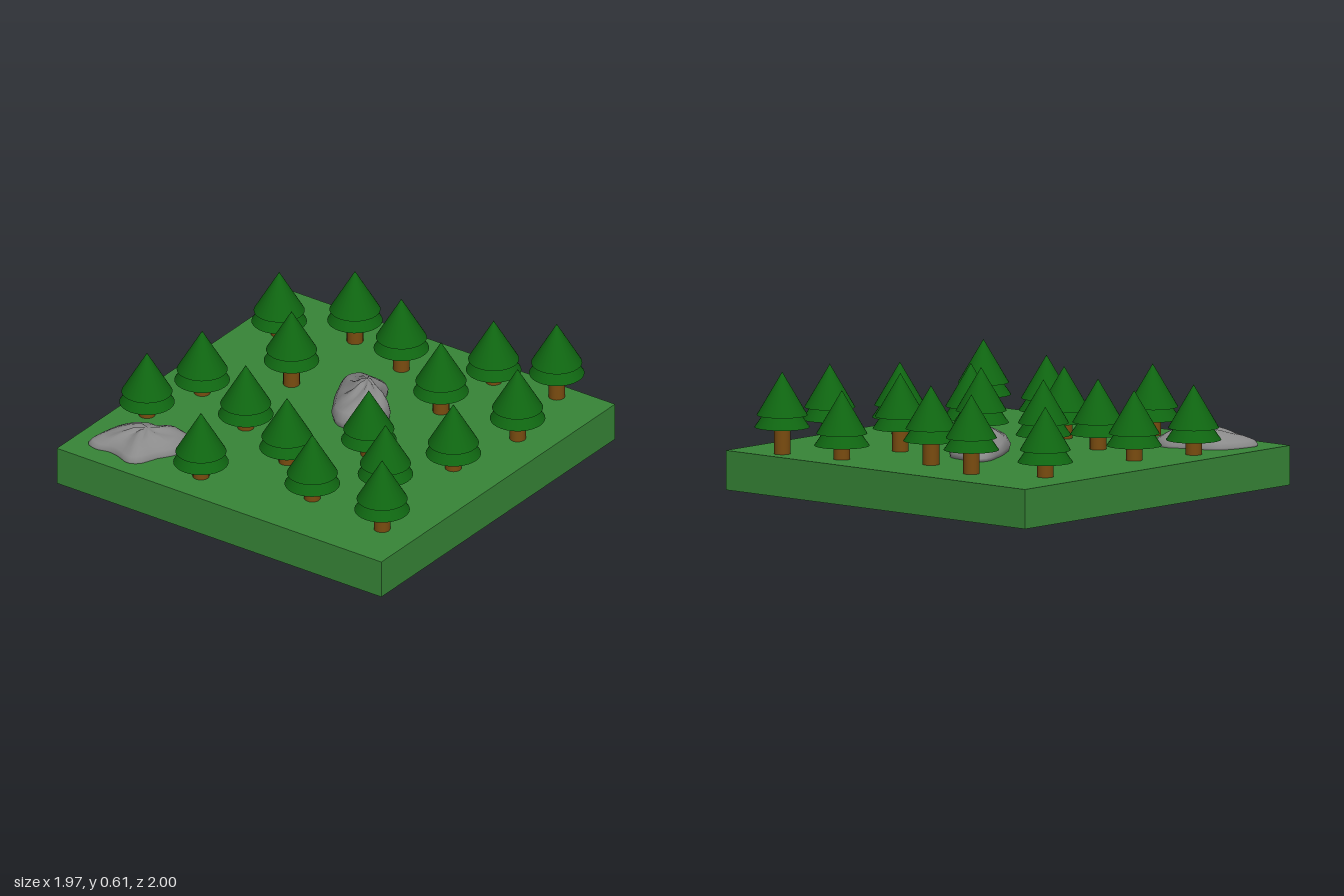
import * as THREE from 'three';

const mat = (name, color, side = THREE.FrontSide) => {
  const m = new THREE.MeshStandardMaterial({ color, side });
  m.name = name;
  return m;
};

// Rock: a closed ground outline shrunk ring by ring towards its summit
function rockGeometry(outline, summit, profile, tilt) {
  const n = 36;
  const curve = new THREE.CatmullRomCurve3(
    outline.map(([x, z]) => new THREE.Vector3(x, 0, z)), true);
  const rim = Array.from({ length: n }, (_, i) => curve.getPoint(i / n));
  const [sx, sy, sz] = summit;
  const pos = [], index = [];
  profile.forEach(([scale, h], r) => rim.forEach((p, i) => {
    const dx = (p.x - sx) * scale, dz = (p.z - sz) * scale;
    const lump = 1 + 0.1 * Math.sin(i * 1.05 + r * 1.7) * (1 - scale * 0.6);
    const slope = 1 + tilt[0] * dx + tilt[1] * dz;
    pos.push(sx + dx, 0.195 + (sy - 0.195) * Math.min(1, h * lump * slope), sz + dz);
  }));
  const top = pos.length / 3;
  pos.push(sx, sy, sz);
  for (let r = 0; r < profile.length; r++) {
    for (let i = 0; i < n; i++) {
      const a = r * n + i, b = r * n + (i + 1) % n;
      if (r === profile.length - 1) index.push(a, top, b);
      else index.push(a, a + n, b, b, a + n, b + n);
    }
  }
  const g = new THREE.BufferGeometry();
  g.setAttribute('position', new THREE.Float32BufferAttribute(pos, 3));
  g.setIndex(index);
  g.computeVertexNormals();
  return g;
}

export function createModel() {
  const model = new THREE.Group();
  model.name = 'forestTile';
  const grass = mat('grass green', 0x378637);
  const needles = mat('needle green', 0x0f6611);
  const bark = mat('bark brown', 0x7a4c10);
  const stone = mat('stone grey', 0x8a8a8a, THREE.DoubleSide);

  const add = (parent, name, geometry, material, x = 0, y = 0, z = 0) => {
    const m = new THREE.Mesh(geometry, material);
    m.name = name;
    m.position.set(x, y, z);
    parent.add(m);
  };

  // Ground slab
  add(model, 'ground', new THREE.BoxGeometry(1.97, 0.197, 1.97), grass, 0, 0.0985, 0.012);

  // Trees: x, z and height of the tip
  const trees = [
    [-0.775, -0.585, 0.545], [-0.43, -0.745, 0.59], [-0.08, -0.65, 0.59],
    [0.365, -0.81, 0.54], [0.705, -0.87, 0.605], [0.33, -0.415, 0.585],
    [0.795, -0.415, 0.585], [-0.43, -0.21, 0.605], [0.715, 0.015, 0.555],
    [-0.735, 0.12, 0.545], [0.295, 0.145, 0.555], [-0.355, 0.28, 0.547],
    [0.54, 0.345, 0.53], [-0.825, 0.46, 0.545], [0.013, 0.443, 0.555],
    [0.33, 0.67, 0.555], [0.79, 0.72, 0.582], [-0.245, 0.81, 0.553],
  ];
  const upper = new THREE.ConeGeometry(0.126, 0.215, 32);
  const lower = new THREE.ConeGeometry(0.137, 0.2, 32);
  trees.forEach(([x, z, tip], i) => {
    const tree = new THREE.Group();
    tree.name = `tree${i + 1}`;
    tree.position.set(x, 0, z);
    const trunkTop = tip - 0.24, h = trunkTop - 0.19;
    add(tree, 'trunk', new THREE.CylinderGeometry(0.041, 0.041, h, 20), bark, 0, 0.19 + h / 2, 0);
    add(tree, 'lowerFoliage', lower, needles, 0, tip - 0.275 + 0.1, 0);
    add(tree, 'upperFoliage', upper, needles, 0, tip - 0.215 / 2, 0);
    model.add(tree);
  });

  // Rocks
  const tallRock = [
    [-0.235, -0.415], [-0.2, -0.465], [-0.13, -0.45], [-0.025, -0.435], [0.025, -0.395],
    [0.03, -0.34], [0.095, -0.275], [0.17, -0.215], [0.175, -0.1], [0.135, -0.03],
    [0.06, 0.013], [0, 0.013], [-0.065, -0.04], [-0.105, -0.105], [-0.16, -0.2],
    [-0.195, -0.28], [-0.225, -0.35],
  ];
  const flatRock = [
    [-0.855, 0.675], [-0.885, 0.795], [-0.885, 0.875], [-0.825, 0.895], [-0.76, 0.88],
    [-0.695, 0.89], [-0.615, 0.918], [-0.56, 0.885], [-0.52, 0.795], [-0.468, 0.715],
    [-0.463, 0.61], [-0.49, 0.55], [-0.595, 0.533], [-0.66, 0.57], [-0.735, 0.59],
    [-0.815, 0.625],
  ];
  add(model, 'tallRock', rockGeometry(tallRock, [0.01, 0.355, -0.24],
    [[0.95, 0], [1, 0.2], [0.9, 0.42], [0.7, 0.58], [0.45, 0.73], [0.2, 0.92]], [1.2, 0.6]), stone);
  add(model, 'flatRock', rockGeometry(flatRock, [-0.64, 0.298, 0.71],
    [[0.98, 0], [1, 0.12], [0.93, 0.36], [0.75, 0.6], [0.5, 0.8], [0.25, 0.95]], [0.4, -0.3]), stone);
  return model;
}
